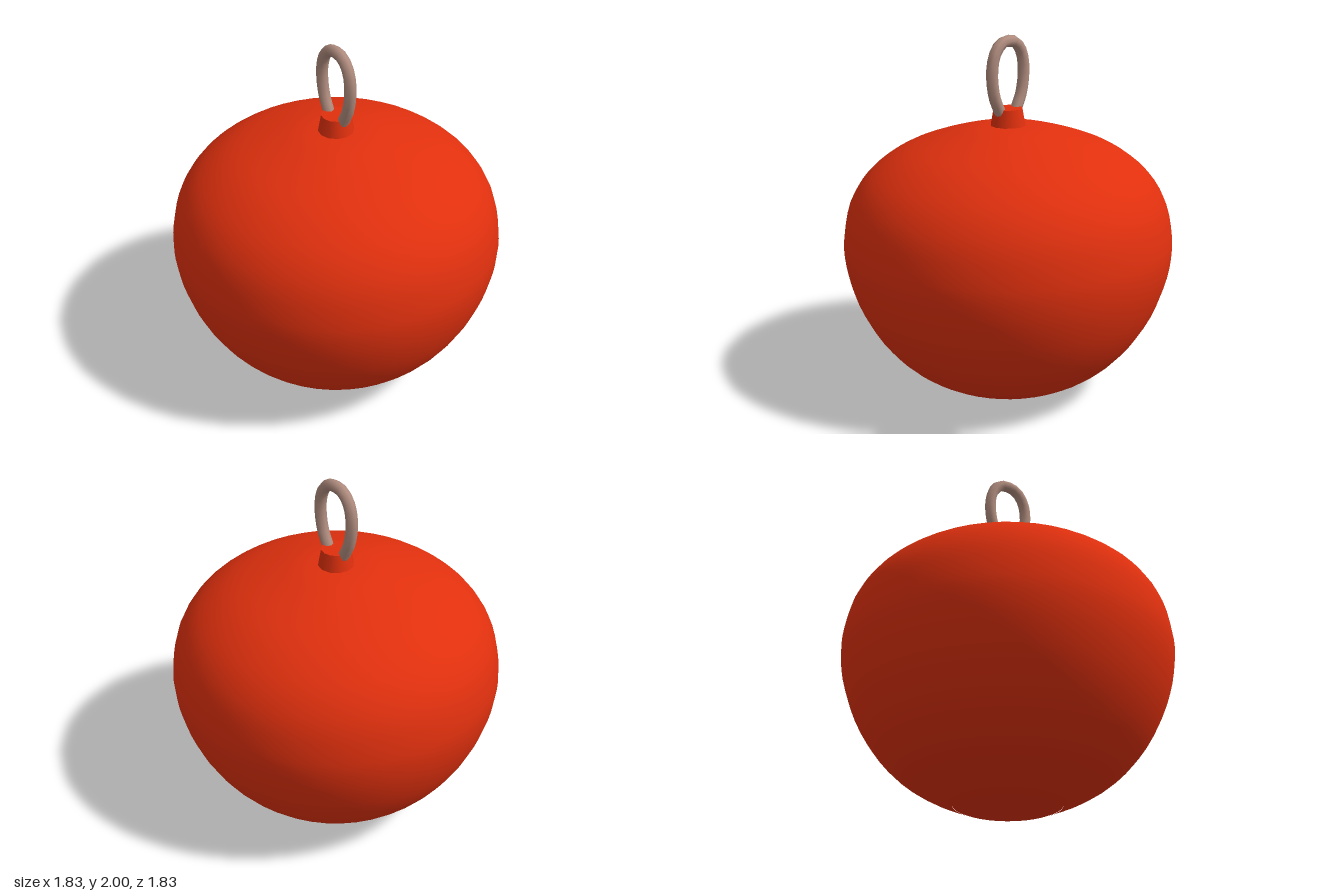
import * as THREE from 'three';

const red = new THREE.MeshStandardMaterial({ color: 0xe0300e });
red.name = 'red';
const greyBrown = new THREE.MeshStandardMaterial({ color: 0xb08c7e });
greyBrown.name = 'greyBrown';

const v2 = ([x, y]) => new THREE.Vector2(x, y);

export function createModel() {
  const model = new THREE.Group();
  const add = (name, geometry, material) => {
    const mesh = new THREE.Mesh(geometry, material);
    mesh.name = name;
    model.add(mesh);
    return mesh;
  };

  // Squashed round body, smooth from the foot up to the neck
  const profile = new THREE.SplineCurve([
    [0.29, 0.01], [0.45, 0.08], [0.6, 0.18], [0.73, 0.32], [0.83, 0.49],
    [0.89, 0.66], [0.914, 0.8], [0.911, 0.92], [0.875, 1.08], [0.8, 1.21],
    [0.7, 1.305], [0.58, 1.38], [0.44, 1.435], [0.3, 1.477], [0.2, 1.5], [0.1, 1.51], [0, 1.515],
  ].map(v2));
  add('body', new THREE.LatheGeometry(profile.getPoints(40), 48), red);

  // Flat foot under the body
  const foot = add('foot', new THREE.CylinderGeometry(0.29, 0.26, 0.012, 32), red);
  foot.position.y = 0.006;

  // Short tapered neck
  const neck = add('neck', new THREE.CylinderGeometry(0.08, 0.1, 0.11, 12), red);
  neck.position.y = 1.55;

  // Horseshoe hanging loop, lying in the yz plane
  const half = [[0.065, 1.59], [0.108, 1.68], [0.125, 1.81], [0.103, 1.905], [0.055, 1.957]];
  const points = [
    ...half.map(([z, y]) => new THREE.Vector3(0, y, z)),
    new THREE.Vector3(0, 1.968, 0),
    ...half.map(([z, y]) => new THREE.Vector3(0, y, -z)).reverse(),
  ];
  const loop = new THREE.CatmullRomCurve3(points);
  add('hangingLoop', new THREE.TubeGeometry(loop, 22, 0.032, 8), greyBrown);

  // Closed ends of the loop
  for (const side of [1, -1]) {
    const end = add('loopEnd', new THREE.SphereGeometry(0.031, 8, 6), greyBrown);
    end.position.set(0, 1.59, 0.065 * side);
  }
  return model;
}
